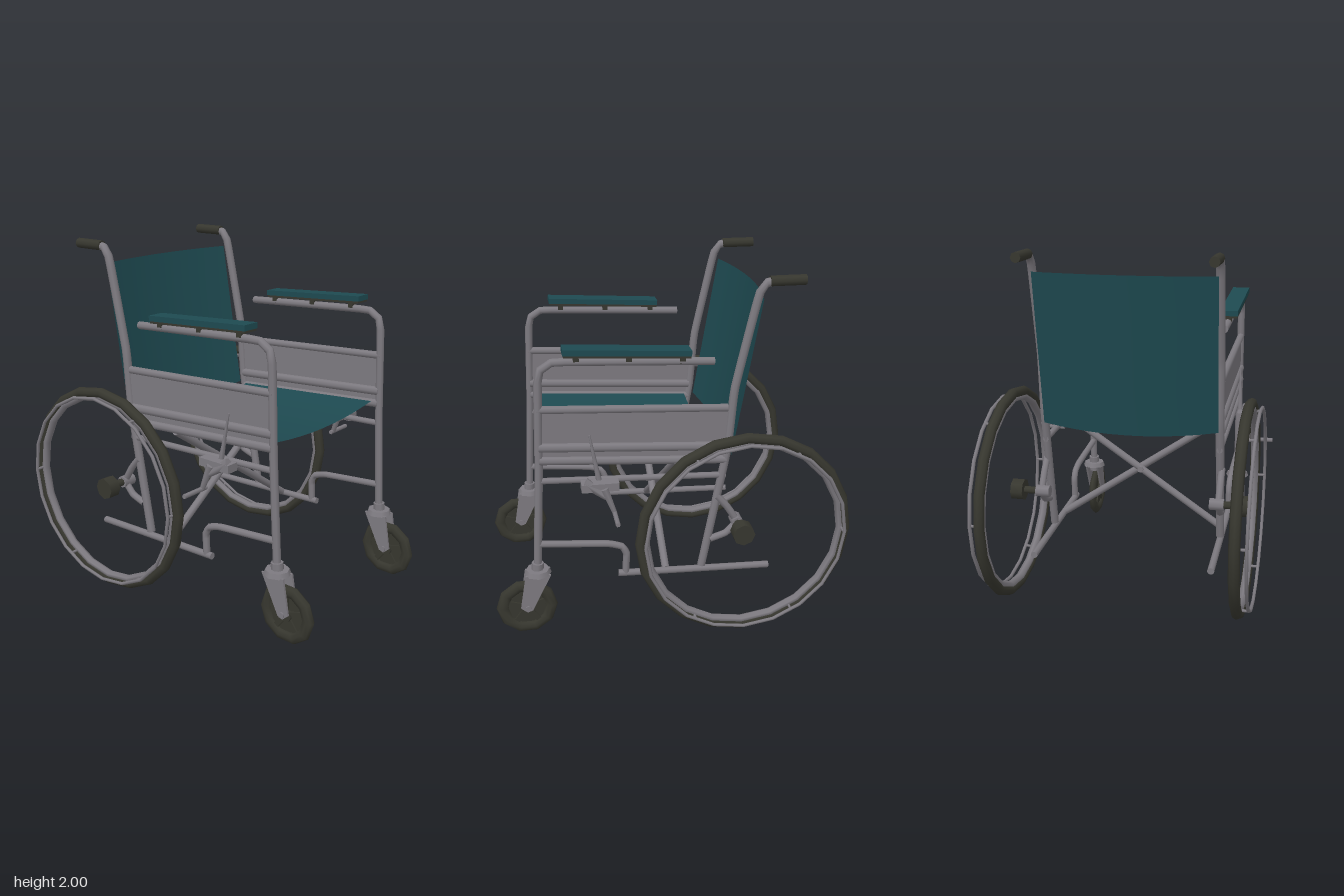
import * as THREE from 'three';

const material = (name, color, side = THREE.FrontSide) => {
  const m = new THREE.MeshStandardMaterial({ color, side });
  m.name = name;
  return m;
};
const V = (x, y, z) => new THREE.Vector3(x, y, z);

export function createModel() {
  const steel = material('grey steel', 0x7d7a80);
  const rubber = material('dark rubber', 0x37372f);
  const fabric = material('teal fabric', 0x1e4a51, THREE.DoubleSide);
  const root = new THREE.Group();
  root.name = 'wheelchair';

  const add = (name, geo, mat, x = 0, y = 0, z = 0) => {
    const m = new THREE.Mesh(geo, mat);
    m.name = name;
    m.position.set(x, y, z);
    root.add(m);
    return m;
  };
  // Straight capped bar between two points
  const rod = (name, a, b, r, mat = steel, r2 = r, sides = 8) => {
    const m = add(name, new THREE.CylinderGeometry(r2, r, a.distanceTo(b), sides), mat);
    m.position.copy(a).add(b).multiplyScalar(0.5);
    m.quaternion.setFromUnitVectors(V(0, 1, 0), b.clone().sub(a).normalize());
    return m;
  };
  // Bent tube in a plane of constant x, through [y, z] points
  const bent = (name, x, pts, r) => {
    const curve = new THREE.CatmullRomCurve3(pts.map(([y, z]) => V(x, y, z)), false, 'catmullrom', 0.15);
    return add(name, new THREE.TubeGeometry(curve, pts.length * 5, r, 8), steel);
  };
  // Ring standing in the y-z plane; width squashes it along x
  const ring = (name, R, r, width, mat, x, y, z, sides, seg) => {
    const g = new THREE.TorusGeometry(R, r, seg, sides);
    g.scale(1, 1, width / (2 * r));
    g.rotateY(Math.PI / 2);
    return add(name, g, mat, x, y, z);
  };
  // Box tilted about the x axis so that it follows a side rail
  const tilted = (name, size, mat, x, y, z, tilt) => {
    const m = add(name, new THREE.BoxGeometry(...size), mat, x, y, z);
    m.rotation.x = tilt;
    return m;
  };
  // Sagging cloth panel, from a rule for each (u, v) in 0..1
  const cloth = (name, rule) => {
    const g = new THREE.PlaneGeometry(1, 1, 10, 4), p = g.attributes.position;
    for (let i = 0; i < p.count; i++) p.setXYZ(i, ...rule(p.getX(i) + 0.5, p.getY(i) + 0.5));
    g.computeVertexNormals();
    return add(name, g, fabric);
  };
  const sag = u => 1 - (2 * u - 1) ** 2;

  // Upholstery
  cloth('seat', (u, v) => [-0.51 + 1.02 * u, 1.08 - 0.065 * v - 0.045 * sag(u), 0.67 - 0.94 * v]);
  cloth('backrest', (u, v) => [
    -0.495 + 0.99 * u,
    1.01 + 0.865 * v - 0.03 * sag(u) * (1 - v),
    -0.33 - 0.145 * v - 0.055 * sag(u)]);

  // Folding cross brace
  rod('crossBrace', V(-0.49, 1.0, 0.03), V(0.49, 0.33, 0.03), 0.022);
  rod('crossBrace', V(0.49, 1.0, -0.025), V(-0.49, 0.33, -0.025), 0.022);
  rod('bracePivot', V(0, 0.665, -0.055), V(0, 0.665, 0.06), 0.018);

  for (const s of [1, -1]) {
    const x = 0.5 * s;

    // Front post bending into the arm tube
    bent('frontPost', x, [[0.4, 0.75], [1.0, 0.715], [1.53, 0.695], [1.575, 0.665], [1.602, 0.6], [1.562, -0.2]], 0.022);
    rod('armTubeEnd', V(x, 1.562, -0.195), V(x, 1.561, -0.22), 0.022);

    // Rear post and push handle
    bent('rearPost', x, [[0.34, -0.175], [1.05, -0.305], [1.4, -0.335], [1.9, -0.445], [1.96, -0.48], [1.972, -0.54]], 0.024);
    rod('handGrip', V(x, 1.97, -0.5), V(x, 1.97, -0.69), 0.028, rubber);

    // Armrest
    tilted('armrestPad', [0.1, 0.03, 0.66], fabric, 0.507 * s, 1.645, 0.24, -0.06);
    tilted('armrestBase', [0.094, 0.012, 0.652], rubber, 0.507 * s, 1.624, 0.24, -0.06);
    for (const [y, z] of [[1.622, 0.5], [1.605, 0.23], [1.59, -0.05]])
      add('armrestBracket', new THREE.BoxGeometry(0.04, 0.05, 0.03), rubber, x, y, z);

    // Side guard and rails
    tilted('sideGuard', [0.012, 0.3, 1.0], steel, x, 1.18, 0.19, -0.07);
    for (const [y1, y2, r] of [[1.35, 1.295, 0.022], [1.14, 1.075, 0.028], [1.065, 0.995, 0.026], [0.945, 0.9, 0.018]])
      rod('sideRail', V(x, y1, 0.71), V(x, y2, -0.3), r);
    rod('lowerRail', V(x, 0.335, 0.3), V(x, 0.3, -0.57), 0.02);
    bent('lowerBracket', x, [[0.565, 0.735], [0.53, 0.36], [0.505, 0.28], [0.46, 0.255], [0.335, 0.26]], 0.02);

    // Parking brake
    add('brakeClamp', new THREE.BoxGeometry(0.07, 0.045, 0.2), steel, 0.565 * s, 0.925, 0.4);
    rod('brakeLever', V(0.54 * s, 0.93, 0.4), V(0.53 * s, 1.2, 0.445), 0.016, steel, 0.005, 6);
    rod('brakeLink', V(0.57 * s, 0.95, 0.48), V(0.6 * s, 0.87, 0.37), 0.03, steel, 0.018, 6);
    rod('brakeArm', V(0.6 * s, 0.92, 0.38), V(0.61 * s, 0.78, 0.33), 0.022, steel, 0.014, 6);
    rod('brakeShoe', V(0.58 * s, 0.78, 0.33), V(0.75 * s, 0.78, 0.33), 0.013, steel, 0.013, 6);

    // Axle and bracket
    bent('axleBracket', 0.51 * s, [[0.78, -0.25], [0.71, -0.31], [0.61, -0.37], [0.54, -0.31], [0.51, -0.22]], 0.02);
    rod('axleBlock', V(0.46 * s, 0.61, -0.37), V(0.54 * s, 0.61, -0.37), 0.035);
    rod('axle', V(0.5 * s, 0.61, -0.37), V(0.64 * s, 0.61, -0.37), 0.022, rubber);
    rod('hub', V(0.61 * s, 0.61, -0.37), V(0.68 * s, 0.61, -0.37), 0.062, rubber);

    // Rear wheel with push rim
    ring('rearTyre', 0.575, 0.03, 0.06, rubber, 0.66 * s, 0.605, -0.375, 20, 8);
    ring('rearRim', 0.548, 0.023, 0.05, steel, 0.66 * s, 0.605, -0.375, 20, 6);
    ring('pushRim', 0.555, 0.01, 0.02, steel, 0.72 * s, 0.605, -0.375, 20, 6);
    for (let i = 0; i < 6; i++) {
      const a = i * Math.PI / 3, y = 0.605 + 0.55 * Math.sin(a), z = -0.375 + 0.55 * Math.cos(a);
      rod('pushRimClip', V(0.67 * s, y, z), V(0.722 * s, y, z), 0.008, steel, 0.008, 6);
    }

    // Front caster: tyre, web, spokes and hub
    ring('casterTyre', 0.135, 0.036, 0.05, rubber, x, 0.177, 0.82, 10, 8);
    rod('casterWeb', V(x - 0.008, 0.177, 0.82), V(x + 0.008, 0.177, 0.82), 0.13, rubber, 0.13, 10);
    for (let i = 0; i < 5; i++) {
      const a = Math.PI / 2 + i * Math.PI * 0.4;
      const spoke = add('casterSpoke', new THREE.BoxGeometry(0.034, 0.14, 0.03), rubber,
        x, 0.177 + 0.065 * Math.sin(a), 0.82 + 0.065 * Math.cos(a));
      spoke.rotation.x = Math.PI / 2 - a;
    }
    rod('casterHub', V(x - 0.025, 0.177, 0.82), V(x + 0.025, 0.177, 0.82), 0.04, rubber);
    rod('casterAxle', V(x - 0.052, 0.185, 0.815), V(x + 0.052, 0.185, 0.815), 0.018);

    // Caster fork: crown and two tapering blades
    rod('forkCrown', V(x, 0.385, 0.75), V(x, 0.412, 0.75), 0.075, steel, 0.065);
    rod('forkStem', V(x, 0.35, 0.755), V(x, 0.45, 0.748), 0.034);
    const blade = new THREE.Shape([[-0.82, 0.16], [-0.855, 0.19], [-0.82, 0.39], [-0.68, 0.39], [-0.79, 0.17]]
      .map(([a, b]) => new THREE.Vector2(a, b)));
    for (const side of [-1, 1]) {
      const g = new THREE.ExtrudeGeometry(blade, { depth: 0.012, bevelEnabled: false });
      g.rotateY(Math.PI / 2);
      add('forkBlade', g, steel, x + side * 0.038 - 0.006, 0, 0);
    }
  }
  return root;
}
